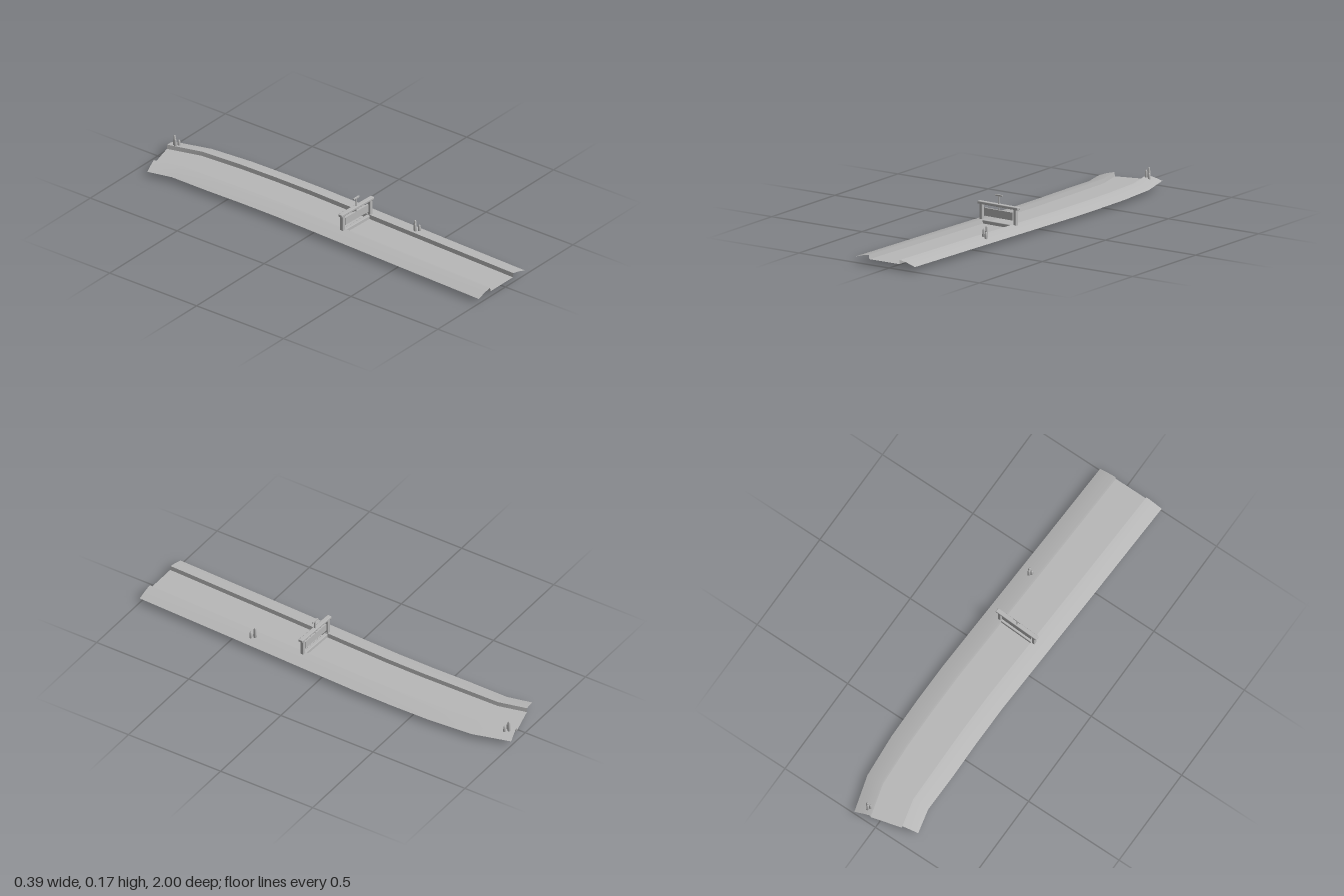
import * as THREE from 'three';
import { RoundedBoxGeometry } from 'three/addons/geometries/RoundedBoxGeometry.js';

const grey = new THREE.MeshStandardMaterial({ color: 0xb8b8b8, side: THREE.DoubleSide });
grey.name = 'plain grey';

// Channel stations: centre x, centre z, crosswise direction x and z
const stations = [
  [-0.027, 1, 1, 0],
  [-0.011, 0.55, 1, 0.03],
  [0.005, 0.13, 1, 0.035],
  [0.0175, -0.2, 1, 0.015],
  [0.019, -0.4, 1, 0],
  [0.016, -0.6, 1, -0.02],
  [0.008, -0.81, 0.945, -0.06],
  [-0.032, -0.96, 0.875, -0.235],
];

// Strips of the cross-section: [offset, height] running from -x to +x
const bank = [[0.17, 0.024], [0.126, 0.038], [0.086, 0.046]];
const wall = [[0.086, 0.046], [0.083, 0.026]];
const mirrored = (points) => points.map(([u, y]) => [-u, y]);

// Sweep a cross-section strip along the stations
function strip(name, profile) {
  const positions = [], index = [], n = profile.length;
  stations.forEach(([cx, cz, dx, dz], i) => {
    profile.forEach(([u, y], j) => {
      positions.push(cx + u * dx, y, cz + u * dz);
      if (i + 1 < stations.length && j + 1 < n) {
        const a = i * n + j, b = a + 1, c = a + n, d = c + 1;
        index.push(a, b, c, b, d, c);
      }
    });
  });
  const geometry = new THREE.BufferGeometry();
  geometry.setAttribute('position', new THREE.Float32BufferAttribute(positions, 3));
  geometry.setIndex(index);
  geometry.computeVertexNormals();
  const mesh = new THREE.Mesh(geometry, grey);
  mesh.name = name;
  return mesh;
}

function part(name, geometry, x, y, z) {
  const mesh = new THREE.Mesh(geometry, grey);
  mesh.name = name;
  mesh.position.set(x, y, z);
  return mesh;
}

function createChannel() {
  const channel = new THREE.Group();
  channel.name = 'channel';
  channel.add(
    strip('rightBank', mirrored(bank)),
    strip('rightWall', mirrored(wall)),
    strip('floor', [[-0.083, 0.026], [0.083, 0.026]]),
    strip('leftWall', [...wall].reverse()),
    strip('leftBank', [...bank].reverse()),
  );
  return channel;
}

function createGate() {
  const gate = new THREE.Group();
  gate.name = 'sluiceGate';
  for (const side of [-1, 1]) {
    gate.add(part('post', new RoundedBoxGeometry(0.016, 0.12, 0.018, 1, 0.003), side * 0.0965, 0.06, 0));
  }
  gate.add(
    part('topBeam', new RoundedBoxGeometry(0.23, 0.013, 0.022, 1, 0.003), 0, 0.1215, 0),
    part('gatePanel', new THREE.BoxGeometry(0.164, 0.037, 0.008), 0, 0.081, 0),
    part('sill', new RoundedBoxGeometry(0.178, 0.023, 0.018, 1, 0.003), 0, 0.031, 0),
    part('stem', new THREE.CylinderGeometry(0.004, 0.004, 0.07, 8), 0, 0.133, 0),
    part('handle', new THREE.BoxGeometry(0.04, 0.006, 0.007), 0, 0.168, 0),
  );
  gate.position.set(0.005, 0, 0.138);
  gate.rotation.y = -0.04;
  return gate;
}

// Three blunt stalks of different height
function createPlant(x, z, turn) {
  const plant = new THREE.Group();
  plant.name = 'plant';
  for (const [dx, dz, top] of [[-0.01, 0, 0.079], [0.0, -0.009, 0.091], [0.009, 0.009, 0.068]]) {
    const h = top - 0.024;
    const outline = [[0, 0], [0.0075, 0], [0.0068, h * 0.6], [0.0055, h - 0.006], [0.003, h - 0.001], [0, h]];
    const geometry = new THREE.LatheGeometry(outline.map(([r, y]) => new THREE.Vector2(r, y)), 8);
    plant.add(part('stalk', geometry, dx, 0.024, dz));
  }
  plant.position.set(x, 0, z);
  plant.rotation.y = turn;
  return plant;
}

export function createModel() {
  const model = new THREE.Group();
  model.name = 'irrigationChannel';
  model.add(createChannel(), createGate(), createPlant(0.115, 0.4, 0), createPlant(0.073, -0.95, 0.2));
  return model;
}
